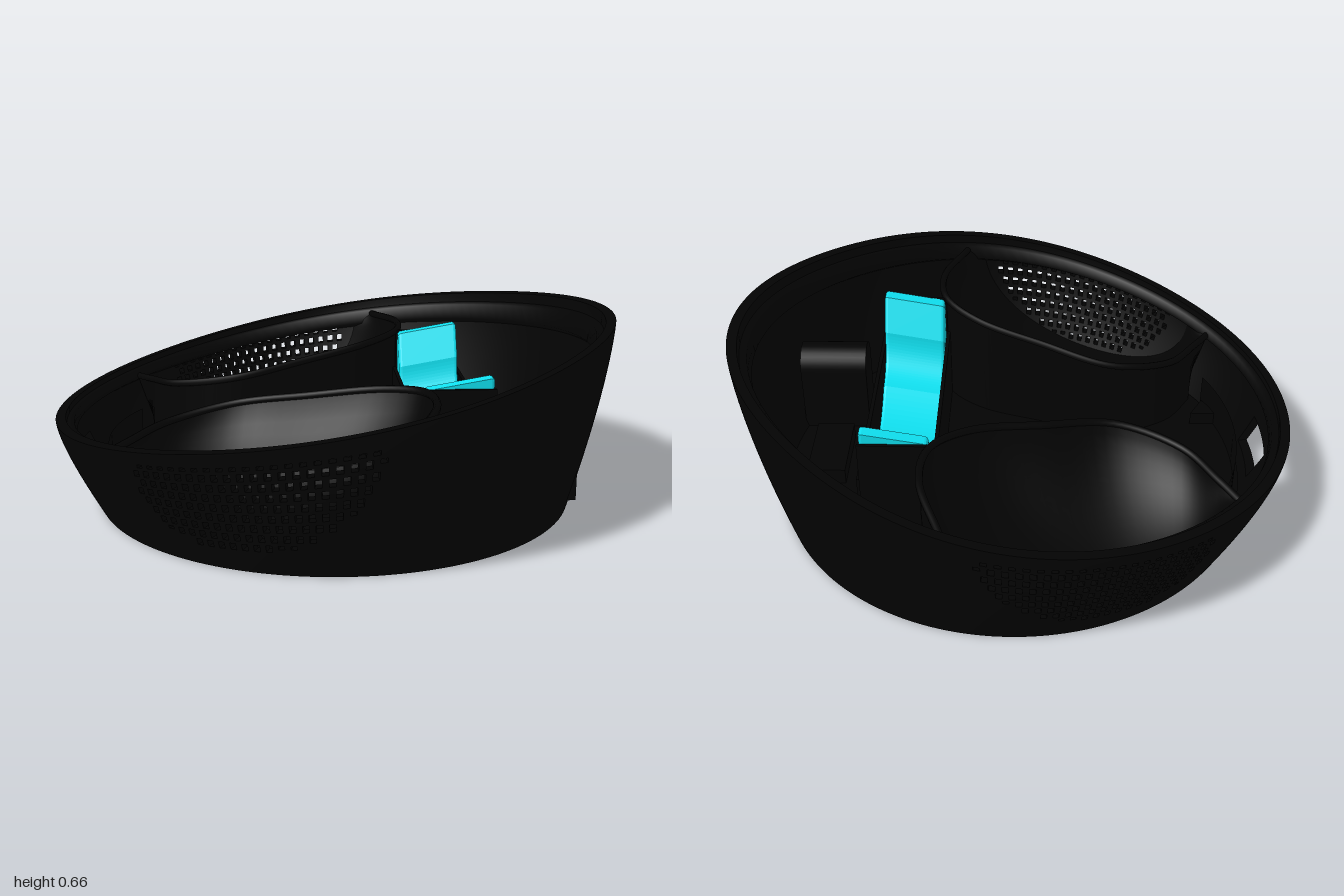
import * as THREE from 'three';

const black = new THREE.MeshStandardMaterial({ color: 0x030303, side: THREE.DoubleSide });
const cyan = new THREE.MeshStandardMaterial({ color: 0x10e4f4 });
const WALL = 0.035;
const mix = THREE.MathUtils.lerp;

// Slanted rim plane and the flaring radius of the shell (t = 0 base, 1 rim),
// drawn in slightly on the diagonals towards the rim
const rimY = (x) => 0.488 + 0.176 * x;
function radius(a, t) {
  const pinch = (0.026 + 0.012 * Math.cos(a)) * Math.sin(2 * a) ** 2;
  return (0.855 + 0.145 * (1 - Math.pow(1 - t, 1.35))) * (1 - pinch * t);
}
function shellPoint(a, t, inset = 0) {
  const r = radius(a, t) - inset, x = r * Math.cos(a);
  return [x, t * rimY(x), r * Math.sin(a)];
}

function mesh(name, geometry, material = black) {
  const m = new THREE.Mesh(geometry, material);
  m.name = name;
  return m;
}
function box(name, w, h, d, x, y, z) {
  return mesh(name, new THREE.BoxGeometry(w, h, d).translate(x, y, z));
}

// Surface from a function f(u, v) -> [x, y, z]
function surface(f, nu, nv) {
  const pos = [], idx = [];
  for (let j = 0; j <= nv; j++) for (let i = 0; i <= nu; i++) pos.push(...f(i / nu, j / nv));
  for (let j = 0; j < nv; j++) for (let i = 0; i < nu; i++) {
    const a = j * (nu + 1) + i, b = a + 1, c = a + nu + 1, d = c + 1;
    idx.push(a, c, b, b, c, d);
  }
  return buffer(pos, idx);
}
function buffer(pos, idx) {
  const g = new THREE.BufferGeometry();
  g.setAttribute('position', new THREE.Float32BufferAttribute(pos, 3));
  g.setIndex(idx);
  g.computeVertexNormals();
  return g;
}

// Extrude a plan shape upward from y0; plan coordinates are (x, z)
function slab(shape, y0, h) {
  const g = new THREE.ExtrudeGeometry(shape, { depth: h, bevelEnabled: false, curveSegments: 48 });
  g.rotateX(Math.PI / 2);
  return g.translate(0, y0 + h, 0);
}
const triangle = (C, x, z, s) => new C([0, 1, 2].map((k) => {
  const a = k * Math.PI * 2 / 3 + Math.PI / 2;
  return new THREE.Vector2(x + s * Math.cos(a), z + s * Math.sin(a));
}));
const screwHole = () => new THREE.Path().absarc(0.403, 0.563, 0.028, 0, Math.PI * 2);
const halfDisc = (r) => new THREE.Shape().absarc(0, 0, r, 0, Math.PI);

// Double-walled shell; vent and slot cells are cut right through it
function shellGeometry() {
  const NA = 288, NT = 36, pos = [], idx = [];
  const id = (side, i, j) => side * (NT + 1) * NA + j * NA + (i % NA);
  for (const inset of [0, WALL]) for (let j = 0; j <= NT; j++) for (let i = 0; i < NA; i++)
    pos.push(...shellPoint(i / NA * Math.PI * 2, j / NT, inset));
  const isHole = (i, j) => {
    const a = (i + 0.5) / NA * Math.PI * 2, t = (j + 0.5) / NT;
    const [x, y, z] = shellPoint(a, t);
    if (x < -0.8 && Math.abs(z) < 0.12) return t > 0.26 && t < 0.57;
    if (Math.abs(z) < 0.5) return false;
    const top = 0.88 * rimY(x);
    const inVent = y < top && ((x + 0.28) / 0.38) ** 2 + ((top - y) / 0.31) ** 2 < 1;
    const col = z > 0 ? i : NA - 1 - i;
    return inVent && j % 3 !== 0 && (col + Math.floor(j / 3)) % 2 === 0;
  };
  const quad = (a, b, c, d) => idx.push(a, b, c, a, c, d);
  const edge = (i0, j0, i1, j1) => {
    const n = pos.length / 3;
    for (const v of [id(0, i0, j0), id(0, i1, j1), id(1, i1, j1), id(1, i0, j0)])
      pos.push(pos[v * 3], pos[v * 3 + 1], pos[v * 3 + 2]);
    quad(n, n + 1, n + 2, n + 3);
  };
  for (let j = 0; j < NT; j++) for (let i = 0; i < NA; i++) {
    if (isHole(i, j)) {
      if (!isHole(i, j - 1)) edge(i, j, i + 1, j);
      if (!isHole(i, j + 1)) edge(i + 1, j + 1, i, j + 1);
      if (!isHole(i - 1, j)) edge(i, j + 1, i, j);
      if (!isHole(i + 1, j)) edge(i + 1, j, i + 1, j + 1);
      continue;
    }
    quad(id(0, i, j), id(0, i, j + 1), id(0, i + 1, j + 1), id(0, i + 1, j));
    quad(id(1, i, j), id(1, i + 1, j), id(1, i + 1, j + 1), id(1, i, j + 1));
  }
  for (let i = 0; i < NA; i++) edge(i, NT, i + 1, NT);
  return buffer(pos, idx);
}

// Side chamber: partition rim, scooped bowl running down to the vents, outer wall
function sideChamber() {
  const g = new THREE.Group();
  g.name = 'sideChamber';
  const rim = new THREE.CatmullRomCurve3(
    [[-0.77, 0.53], [-0.7, 0.42], [-0.59, 0.27], [-0.36, 0.185], [-0.1, 0.26], [0.14, 0.35],
      [0.27, 0.48], [0.29, 0.66], [0.21, 0.9]]
      .map(([x, z]) => new THREE.Vector3(x, rimY(x) - 0.05, z)));
  const foot = (u) => {
    const x = -0.28 - 0.42 * Math.cos(Math.PI * u);
    const y = 0.89 * rimY(x) - 0.32 * Math.sin(Math.PI * u);
    const r = radius(Math.acos(x / 0.95), y / rimY(x)) - WALL;
    return [x, y, Math.sqrt(r * r - x * x)];
  };
  g.add(mesh('chamberBowl', surface((u, v) => {
    const p = rim.getPoint(u), [x, y, z] = foot(u), h = Math.pow(v, 1.3);
    return [mix(p.x, x, h), mix(p.y, y, 1 - (1 - v) ** 2), mix(p.z, z, h)];
  }, 48, 16)));
  g.add(mesh('chamberWall', surface((u, v) => {
    const p = rim.getPoint(u);
    const k = Math.min(1, 0.82 / Math.hypot(p.x, p.z));
    return [p.x * mix(1, k, v), mix(p.y, 0.05, v), p.z * mix(1, k, v)];
  }, 48, 1)));
  g.add(mesh('chamberRim', new THREE.TubeGeometry(rim, 60, 0.013, 8)));
  return g;
}

// One half of the body: floor with triangular recess below and round hole above
function bodyHalf() {
  const g = new THREE.Group();
  g.name = 'bodyHalf';
  const lower = halfDisc(0.853), upper = halfDisc(0.84), boss = triangle(THREE.Shape, 0.4, 0.56, 0.115);
  lower.holes.push(triangle(THREE.Path, 0.4, 0.56, 0.1));
  upper.holes.push(screwHole());
  boss.holes.push(screwHole());
  g.add(mesh('floorUnderside', slab(lower, 0, 0.02)), mesh('floor', slab(upper, 0.02, 0.04)));
  g.add(mesh('holeBoss', slab(boss, 0.06, 0.05)));
  g.add(mesh('cornerBoss', slab(triangle(THREE.Shape, -0.74, 0.28, 0.06), 0.06, 0.05)));
  g.add(sideChamber());
  // End panel of the cradle housing
  g.add(box('cradleEndPanel', 0.24, 0.43, 0.012, 0.392, 0.275, 0.476));
  return g;
}

// Cradle profile in (z, y), extruded along x and sheared to follow the rim slope
function cradleGeometry() {
  const s = new THREE.Shape();
  s.moveTo(-0.47, 0.08).lineTo(-0.47, 0.505).lineTo(-0.42, 0.505).lineTo(-0.355, 0.385);
  s.quadraticCurveTo(-0.345, 0.245, -0.21, 0.235);
  s.quadraticCurveTo(0, 0.1, 0.21, 0.235);
  s.quadraticCurveTo(0.345, 0.245, 0.355, 0.385);
  s.lineTo(0.42, 0.505).lineTo(0.465, 0.505).lineTo(0.465, 0.08);
  const bevel = 0.012;
  const g = new THREE.ExtrudeGeometry(s, {
    depth: 0.23 - 2 * bevel, bevelSize: bevel, bevelThickness: bevel,
    bevelOffset: -bevel, bevelSegments: 3, curveSegments: 20,
  });
  g.rotateY(Math.PI / 2).translate(0.277 + bevel, 0, 0);
  const p = g.attributes.position;
  for (let i = 0; i < p.count; i++) p.setY(i, p.getY(i) + 0.176 * (p.getX(i) - 0.39));
  g.computeVertexNormals();
  return g;
}

export function createModel() {
  const model = new THREE.Group();
  model.name = 'slantedBowl';
  model.add(mesh('shell', shellGeometry()));

  // Ledge just inside the rim
  model.add(mesh('rimLedge', surface((u, v) => {
    const k = [[0.94, WALL], [0.93, 0.06], [0.83, 0.06], [0.8, WALL]][Math.round(v * 3)];
    return shellPoint(-u * Math.PI * 2, ...k);
  }, 128, 3)));

  // Floor, chambers and bosses, mirrored front to back
  for (const side of [1, -1]) {
    const half = bodyHalf();
    half.scale.z = side;
    model.add(half);
  }

  // Coloured cradle between dark level panels
  model.add(mesh('cradle', cradleGeometry(), cyan));
  for (const x of [0.268, 0.516])
    model.add(box('cradleSidePanel', 0.014, 0.28, 0.94, x, 0.2, 0));

  // Curb behind the cable slot
  model.add(mesh('slotCurb', surface((u, v) => {
    const a = Math.PI + (u - 0.5) * 0.9;
    return [0.82 * Math.cos(a), mix(0.05, 0.21, v), 0.82 * Math.sin(a)];
  }, 24, 1)));

  // Small fittings behind the cradle
  const roller = new THREE.CylinderGeometry(0.08, 0.08, 0.25, 32).rotateZ(Math.PI / 2);
  model.add(mesh('roller', roller.translate(0.695, 0.31, 0.29)));
  model.add(box('rollerBlock', 0.25, 0.25, 0.16, 0.695, 0.185, 0.29));
  model.add(box('floorPad', 0.14, 0.06, 0.29, 0.69, 0.09, 0));
  return model;
}
